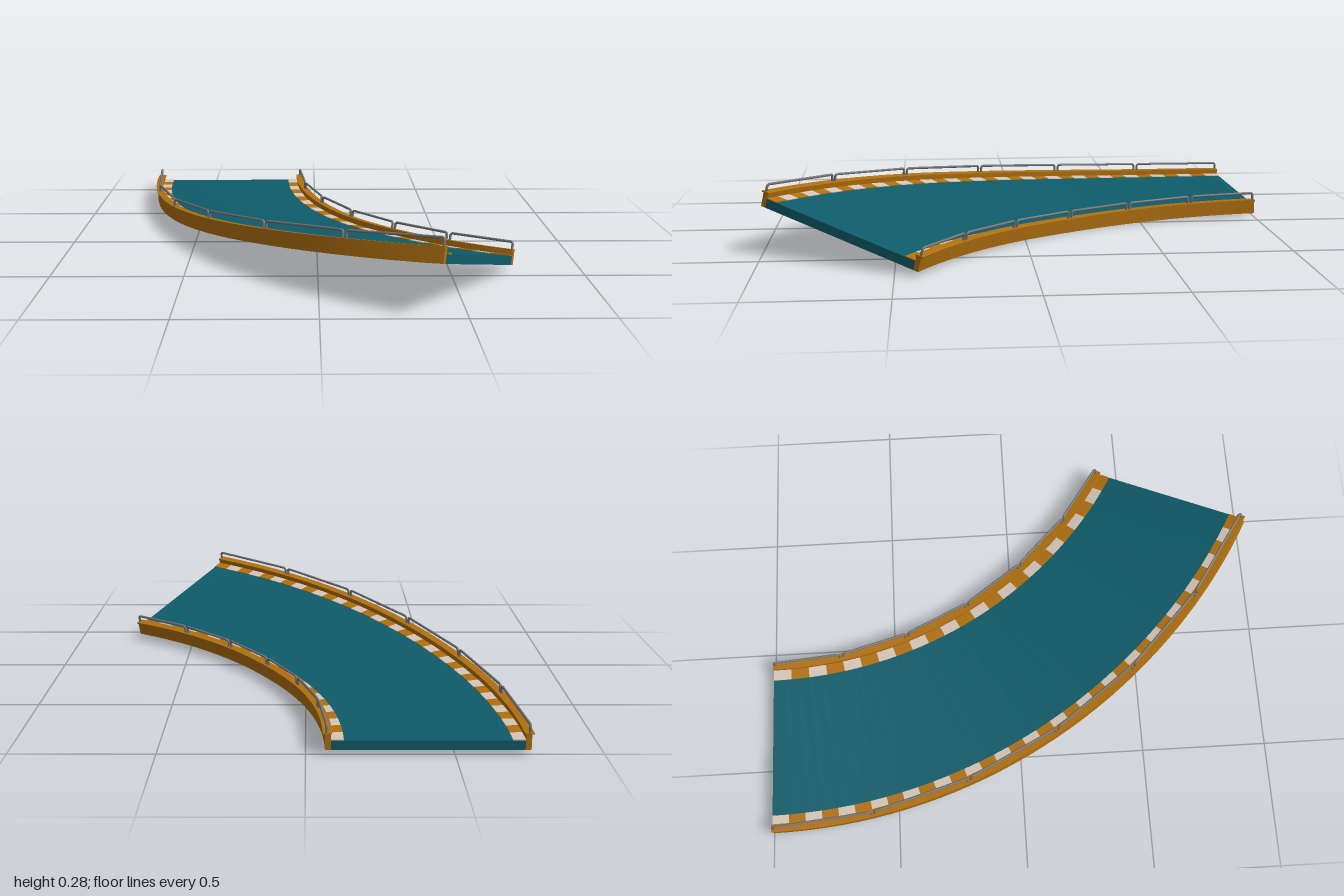
import * as THREE from 'three';
import { mergeGeometries } from 'three/addons/utils/BufferGeometryUtils.js';

const ARC = Math.PI / 3, CX = 1.56, CZ = -1, RADIUS = 1.97, HALF = 0.35;

// Rise of the inner and outer edges along the bend, every 10 degrees
const INNER = [0, -0.007, -0.013, -0.015, -0.010, -0.004, 0.001];
const OUTER = [0, 0.008, 0.031, 0.066, 0.106, 0.143, 0.175];
const toCurve = (list) => new THREE.CatmullRomCurve3(list.map((y, i) => new THREE.Vector3(i, y, 0)));
const innerCurve = toCurve(INNER), outerCurve = toCurve(OUTER);

// Point on the banked bend: t along (0..1), u across (outer side positive), v above the underside
function place(t, u, v) {
  const a = innerCurve.getPoint(t).y, b = outerCurve.getPoint(t).y;
  const roll = Math.asin((b - a) / (2 * HALF));
  const r = RADIUS + u * Math.cos(roll) - v * Math.sin(roll);
  const y = 0.015 + (a + b) / 2 + u * Math.sin(roll) + v * Math.cos(roll);
  return new THREE.Vector3(CX - r * Math.cos(t * ARC), y, CZ + r * Math.sin(t * ARC));
}

// Sweeps a rectangular section along the bend, sharp at its edges and smooth lengthwise
function sweep(u0, u1, v0, v1, t0 = 0, t1 = 1, steps = 36) {
  const section = [[u0, v0], [u1, v0], [u1, v1], [u0, v1]];
  const pos = [], index = [];
  section.forEach((p, k) => {
    const q = section[(k + 1) % 4], base = pos.length / 3;
    for (let i = 0; i <= steps; i++) {
      const t = t0 + (t1 - t0) * i / steps;
      pos.push(...place(t, ...p).toArray(), ...place(t, ...q).toArray());
      if (i < steps) {
        const n = base + i * 2;
        index.push(n, n + 2, n + 1, n + 1, n + 2, n + 3);
      }
    }
  });
  // End faces
  [t0, t1].forEach((t, end) => {
    const n = pos.length / 3;
    section.forEach((p) => pos.push(...place(t, ...p).toArray()));
    index.push(...(end ? [n, n + 2, n + 1, n, n + 3, n + 2] : [n, n + 1, n + 2, n, n + 2, n + 3]));
  });
  const geo = new THREE.BufferGeometry();
  geo.setAttribute('position', new THREE.Float32BufferAttribute(pos, 3));
  geo.setIndex(index);
  geo.computeVertexNormals();
  return geo;
}

// One straight handrail span with a rounded post at each end
function railSpan(u, t0, t1) {
  const low = 0.055, high = 0.088, bend = 0.012;
  const a = place(t0, u, low), b = place(t0, u, high), c = place(t1, u, high), d = place(t1, u, low);
  const toward = (p, q) => p.clone().add(q.clone().sub(p).setLength(bend));
  const path = new THREE.CurvePath();
  path.add(new THREE.LineCurve3(a, toward(b, a)));
  path.add(new THREE.QuadraticBezierCurve3(toward(b, a), b, toward(b, c)));
  path.add(new THREE.LineCurve3(toward(b, c), toward(c, b)));
  path.add(new THREE.QuadraticBezierCurve3(toward(c, b), c, toward(c, d)));
  path.add(new THREE.LineCurve3(toward(c, d), d));
  return new THREE.TubeGeometry(path, 80, 0.005, 8);
}

export function createModel() {
  const group = new THREE.Group();
  const paint = (color) => new THREE.MeshStandardMaterial({ color });
  const teal = paint(0x0e5c6a), orange = paint(0xb0700f), cream = paint(0xd6c6b8), steel = paint(0x777777);
  const add = (name, geo, mat) => {
    const mesh = new THREE.Mesh(geo, mat);
    mesh.name = name;
    group.add(mesh);
  };

  // Road slab
  add('roadDeck', sweep(-0.325, 0.325, 0, 0.035), teal);

  for (const [side, s, stripes] of [['inner', -1, 24], ['outer', 1, 36]]) {
    const strip = (a, b, ...rest) => sweep(Math.min(s * a, s * b), Math.max(s * a, s * b), ...rest);

    // Low side wall with a slightly overhanging cap
    add(side + 'Barrier', strip(0.325, 0.345, 0, 0.056), orange);
    add(side + 'BarrierCap', strip(0.321, 0.353, 0.055, 0.060), orange);

    // Striped kerb
    const bands = [[], []];
    for (let i = 0; i < stripes; i++) {
      bands[i % 2].push(strip(0.282, 0.326, 0.03, 0.038, i / stripes, (i + 1) / stripes, 2));
    }
    add(side + 'KerbLight', mergeGeometries(bands[0]), cream);
    add(side + 'KerbDark', mergeGeometries(bands[1]), orange);

    // Handrail spans, one per 10 degrees
    const gap = 0.008 / (RADIUS + s * HALF) / ARC;
    const spans = [];
    for (let i = 0; i < 6; i++) spans.push(railSpan(s * 0.339, i / 6 + gap, (i + 1) / 6 - gap));
    add(side + 'Handrail', mergeGeometries(spans), steel);
  }
  return group;
}
